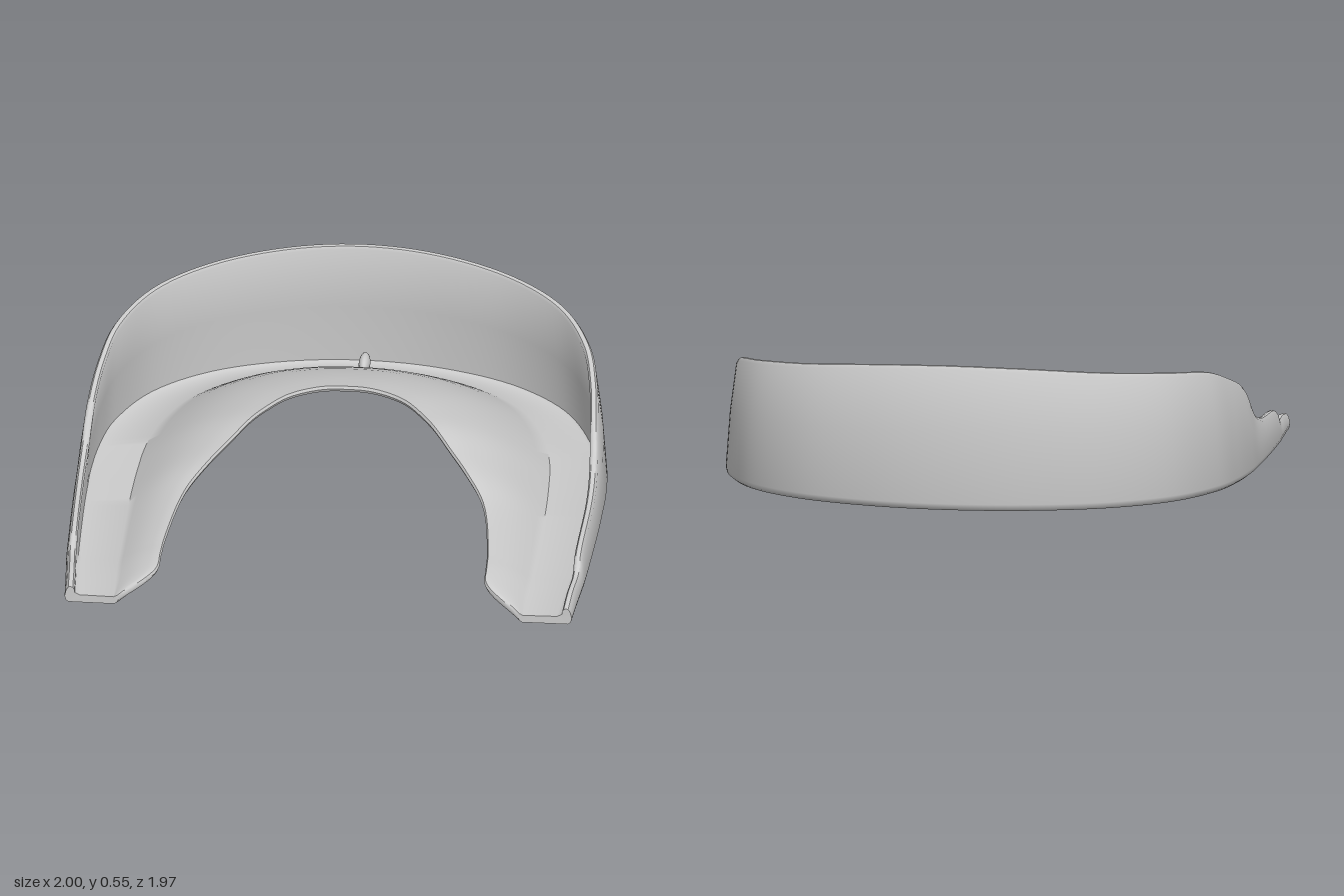
import * as THREE from 'three';
import { toCreasedNormals } from 'three/addons/utils/BufferGeometryUtils.js';

// Half-arch stations from the open end to the centre of the curve:
// outer foot x, z, wall height | floor fold x, z | inner edge x, y, z
const STATIONS = [
  [0.962, 0.98, 0.065, 0.775, 0.98, 0.762, 0.037, 0.98],
  [0.97, 0.86, 0.08, 0.78, 0.85, 0.63, 0.1, 0.87],
  [0.98, 0.73, 0.085, 0.785, 0.72, 0.62, 0.115, 0.77],
  [0.985, 0.66, 0.13, 0.785, 0.65, 0.615, 0.12, 0.66],
  [0.998, 0.3, 0.165, 0.787, 0.3, 0.565, 0.155, 0.33],
  [1.0, 0.15, 0.21, 0.785, 0.12, 0.49, 0.21, 0.2],
  [1.0, 0.0, 0.33, 0.78, -0.02, 0.42, 0.25, 0.1],
  [0.985, -0.2, 0.4, 0.765, -0.22, 0.35, 0.295, 0.01],
  [0.945, -0.4, 0.455, 0.72, -0.42, 0.29, 0.31, -0.07],
  [0.82, -0.65, 0.488, 0.62, -0.62, 0.225, 0.32, -0.14],
  [0.6, -0.84, 0.512, 0.44, -0.775, 0.15, 0.325, -0.185],
  [0.3, -0.955, 0.536, 0.21, -0.855, 0.075, 0.33, -0.205],
  [0, -0.99, 0.545, 0, -0.875, 0, 0.33, -0.21],
];
const FLOOR = 0.03;
const STEPS = 144;

// Mirrored smooth rail through all stations
function rail(pick) {
  const half = STATIONS.map(pick);
  const other = half.slice(0, -1).reverse().map((p) => new THREE.Vector3(-p.x, p.y, p.z));
  return new THREE.CatmullRomCurve3([...half, ...other]);
}

const outerRail = rail((s) => new THREE.Vector3(s[0], s[2], s[1]));
const foldRail = rail((s) => new THREE.Vector3(s[3], FLOOR, s[4]));
const edgeRail = rail((s) => new THREE.Vector3(s[5], s[6], s[7]));

// Closed cross-section: wall, bite floor and rising inner shelf
function section(t) {
  const o = outerRail.getPoint(t), tan = outerRail.getTangent(t);
  const inward = new THREE.Vector3(tan.z, 0, -tan.x).normalize();
  const fold = foldRail.getPoint(t), edge = edgeRail.getPoint(t);
  const h = o.y, lean = 0.05 * h / 0.545;
  const pts = [];

  // Wall, rounded at the foot and rim
  const wall = [
    [0.014, 0], [0.004, 0.008], [0, 0.025], [lean * 0.4, h * 0.55], [lean, h - 0.014],
    [lean + 0.008, h - 0.002], [lean + 0.016, h], [lean + 0.025, h - 0.003],
    [lean + 0.031, h - 0.014], [lean * 0.4 + 0.036, Math.max(h * 0.5, 0.04)],
    [0.046, 0.036], [0.056, FLOOR],
  ];
  for (const [d, y] of wall) pts.push(o.clone().setY(0).addScaledVector(inward, d).setY(y));

  // Shelf top, then its underside in reverse
  const shelf = (s, spread, drop) => {
    const p = fold.clone().lerp(edge, s + (1 - s) * spread);
    const rise = s + 0.14 * Math.sin(Math.PI * s);
    p.y = Math.max(0, FLOOR + (edge.y - FLOOR) * rise - drop);
    return p;
  };
  const n = 9;
  for (let i = 0; i <= n; i++) pts.push(shelf(i / n, 0, i === n ? 0.004 : 0));
  const lip = shelf(1, 0, 0.015);
  lip.addScaledVector(edge.clone().sub(fold).setY(0).normalize(), 0.005);
  pts.push(lip);
  for (let i = n; i >= 0; i--) pts.push(shelf(i / n, 0.09, i === n ? 0.027 : 0.03));
  return pts;
}

function sweptBody() {
  const rows = [];
  for (let i = 0; i <= STEPS; i++) rows.push(section(i / STEPS));
  const n = rows[0].length, index = [];
  for (let i = 0; i < STEPS; i++) {
    for (let j = 0; j < n; j++) {
      const k = (j + 1) % n;
      const a = i * n + j, b = a + n, c = i * n + k, d = c + n;
      index.push(a, b, c, c, b, d);
    }
  }
  // Flat caps on the two open ends
  const contour = rows[0].map((p) => new THREE.Vector2(p.x, p.y));
  for (const [a, b, c] of THREE.ShapeUtils.triangulateShape(contour, [])) {
    const last = STEPS * n;
    index.push(a, b, c, last + a, last + c, last + b);
  }
  const geo = new THREE.BufferGeometry().setFromPoints(rows.flat());
  geo.setIndex(index);
  return toCreasedNormals(geo, 0.7);
}

export function createModel() {
  const model = new THREE.Group();
  model.name = 'mouthguard';
  const material = new THREE.MeshStandardMaterial({ color: 0xcccccc });

  const body = new THREE.Mesh(sweptBody(), material);
  body.name = 'archTray';
  model.add(body);

  // Small web between the front wall and the shelf
  const web = new THREE.Mesh(new THREE.SphereGeometry(1, 20, 12), material);
  web.name = 'centreWeb';
  web.scale.set(0.022, 0.035, 0.06);
  web.position.set(0, 0.055, -0.885);
  model.add(web);

  return model;
}
